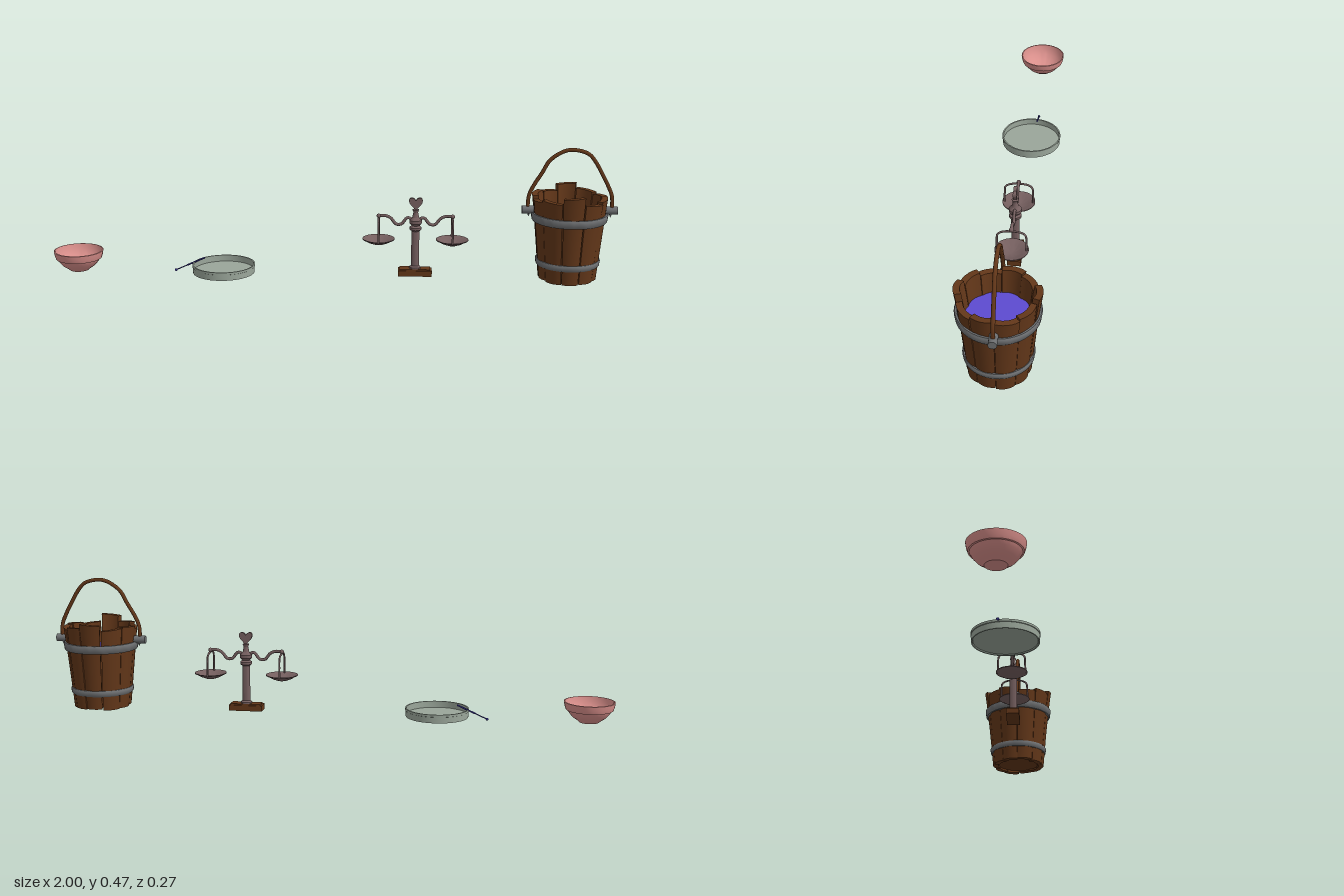
import * as THREE from 'three';
import { toCreasedNormals } from 'three/addons/utils/BufferGeometryUtils.js';

const mat = (name, color, side = THREE.FrontSide) => {
  const m = new THREE.MeshStandardMaterial({ color, side });
  m.name = name;
  return m;
};
const V = (x, y, z = 0) => new THREE.Vector3(x, y, z);

export function createModel() {
  const wood = mat('wood', 0x633719);
  const iron = mat('iron', 0x6c6e70);
  const water = mat('water', 0x5d4bd0);
  const clay = mat('pink clay', 0xd98f8b);
  const glass = mat('green glass', 0x9aa69a);
  const bronze = mat('dull bronze', 0x755f5f);
  const blue = mat('dark blue', 0x34308c);

  const group = (name, x, z = 0) => {
    const g = new THREE.Group();
    g.name = name;
    g.position.set(x, 0, z);
    return g;
  };
  const add = (parent, name, geo, material, x = 0, y = 0, z = 0) => {
    const m = new THREE.Mesh(geo, material);
    m.name = name;
    m.position.set(x, y, z);
    parent.add(m);
    return m;
  };
  const lathe = (pts, seg = 48, crease = 0.6) => toCreasedNormals(
    new THREE.LatheGeometry(pts.map(p => new THREE.Vector2(p[0], p[1])), seg), crease);
  const tube = (pts, r, seg = 32, sides = 8) =>
    new THREE.TubeGeometry(new THREE.CatmullRomCurve3(pts), seg, r, sides);
  const rod = (parent, name, a, b, r, material) => {
    const m = add(parent, name, new THREE.CylinderGeometry(r, r, a.distanceTo(b), 10), material);
    m.position.copy(a).lerp(b, 0.5);
    m.quaternion.setFromUnitVectors(V(0, 1, 0), b.clone().sub(a).normalize());
    return m;
  };

  // Bowl with a raised lip band and a small foot
  const bowl = group('bowl', -0.913);
  add(bowl, 'bowlShell', lathe([
    [0, 0.005], [0.034, 0.005], [0.042, 0.012], [0.058, 0.023], [0.07, 0.037], [0.076, 0.048],
    [0.081, 0.049], [0.085, 0.06], [0.088, 0.077], [0.084, 0.078], [0.08, 0.06],
    [0.07, 0.042], [0.054, 0.026], [0.032, 0.015], [0, 0.011]]), clay);

  // Shallow dish
  const dish = group('dish', -0.387, 0.003);
  add(dish, 'dishShell', lathe([
    [0, 0.01], [0.104, 0.01], [0.106, 0.006], [0.11, 0.006], [0.11, 0.027], [0.112, 0.028],
    [0.112, 0.036], [0.107, 0.036], [0.107, 0.013], [0, 0.013]], 64), glass);

  // Stirring needle leaning on the dish
  const needle = group('needle', 0, -0.013);
  const tip = V(-0.563, 0.005), end = V(-0.458, 0.052);
  const mid = tip.clone().lerp(end, 0.4);
  rod(needle, 'needleShaft', tip, end, 0.002, blue);
  rod(needle, 'needleGrip', mid, end, 0.003, blue);
  add(needle, 'needleTip', new THREE.SphereGeometry(0.005, 10, 8), blue, tip.x, tip.y);

  // Balance scale
  const scale = group('balanceScale', 0.297);
  add(scale, 'scaleBase', new THREE.BoxGeometry(0.12, 0.02, 0.048), wood, 0, 0.016);
  add(scale, 'scaleBaseTop', new THREE.BoxGeometry(0.108, 0.006, 0.04), wood, 0, 0.028);
  add(scale, 'scalePost', lathe([
    [0, 0.03], [0.02, 0.03], [0.02, 0.036], [0.014, 0.042], [0.014, 0.168], [0.021, 0.174],
    [0.021, 0.182], [0.014, 0.188], [0.022, 0.197], [0.022, 0.208], [0.012, 0.218],
    [0.008, 0.236], [0.012, 0.246], [0, 0.25]], 16), bronze);
  const heart = new THREE.Shape();
  heart.moveTo(0, 0);
  heart.bezierCurveTo(0.01, 0.012, 0.024, 0.022, 0.024, 0.034);
  heart.bezierCurveTo(0.024, 0.048, 0.006, 0.048, 0, 0.034);
  heart.bezierCurveTo(-0.006, 0.048, -0.024, 0.048, -0.024, 0.034);
  heart.bezierCurveTo(-0.024, 0.022, -0.01, 0.012, 0, 0);
  add(scale, 'scaleFinial', new THREE.ExtrudeGeometry(heart,
    { depth: 0.012, bevelEnabled: false, curveSegments: 8 }), bronze, 0, 0.244, -0.006);
  const half = [[0.132, 0.222], [0.105, 0.222], [0.088, 0.214], [0.068, 0.192], [0.05, 0.193], [0.028, 0.216]];
  add(scale, 'scaleBeam', tube([
    ...half.map(p => V(-p[0], p[1])), V(0, 0.204), ...half.slice().reverse().map(p => V(p[0], p[1]))],
  0.0055, 64), bronze);
  for (const s of [-1, 1]) {
    const pan = group(s > 0 ? 'leftPan' : 'rightPan', s * 0.13);
    add(pan, 'beamTip', new THREE.SphereGeometry(0.008, 12, 8), bronze, 0, 0.221);
    add(pan, 'panYoke', tube([
      V(0, 0.133, -0.05), V(0, 0.17, -0.049), V(0, 0.2, -0.046), V(0, 0.211, -0.03), V(0, 0.214, 0),
      V(0, 0.211, 0.03), V(0, 0.2, 0.046), V(0, 0.17, 0.049), V(0, 0.133, 0.05)], 0.0035, 40), bronze);
    add(pan, 'panDish', lathe([
      [0, 0.116], [0.018, 0.118], [0.036, 0.125], [0.05, 0.133], [0.057, 0.136], [0.057, 0.139],
      [0.05, 0.137], [0.035, 0.129], [0.018, 0.122], [0, 0.12]], 40), bronze);
    scale.add(pan);
  }

  // Bucket: ten bent staves of uneven height
  const bucket = group('bucket', 0.833);
  const tops = [0.322, 0.294, 0.302, 0.298, 0.304, 0.32, 0.3, 0.305, 0.293, 0.302];
  tops.forEach((top, i) => {
    const geo = new THREE.BoxGeometry(1, 1, 1, 6, 8, 1);
    const p = geo.attributes.position;
    const low = 0.006 + (i % 3) * 0.002;
    const tall = top > 0.31;
    const lean = tall ? 0.006 : (i % 2) * 0.003;
    for (let k = 0; k < p.count; k++) {
      const u = p.getX(k), t = p.getY(k) + 0.5, w = p.getZ(k) + 0.5;
      const y = low + (top - low) * t - (i % 2 ? 1 : -1) * u * 0.006 * t;
      const a = i * Math.PI / 5 + u * (tall ? 0.58 : 0.615);
      const flare = 0.102 + 0.028 * t + lean * t ** 3;
      const r = flare - 0.004 * (2 * u) ** 2 - (1 - w) * 0.021;
      p.setXYZ(k, Math.sin(a) * r, y, Math.cos(a) * r);
    }
    geo.computeVertexNormals();
    add(bucket, 'stave', geo, wood);
  });
  add(bucket, 'bucketFloor', new THREE.CylinderGeometry(0.094, 0.092, 0.012, 40), wood, 0, 0.021);
  add(bucket, 'waterSurface', new THREE.CylinderGeometry(0.112, 0.112, 0.004, 40), water, 0, 0.22);

  // Iron hoops
  const hoop = (y0, y1, r0, r1) => lathe([
    [r0 - 0.014, y0], [r0 - 0.003, y0], [r0, y0 + 0.004], [r1, y1 - 0.004], [r1 - 0.003, y1],
    [r1 - 0.009, y1], [r0 - 0.014, y0]], 48, 0.9);
  add(bucket, 'lowerHoop', hoop(0.057, 0.079, 0.111, 0.113), iron);
  add(bucket, 'upperHoop', hoop(0.216, 0.245, 0.131, 0.134), iron);

  // Handle lugs and the bent wooden handle
  for (const s of [-1, 1]) {
    const lug = add(bucket, 'handleLug', new THREE.CylinderGeometry(0.014, 0.014, 0.042, 14), iron, s * 0.145, 0.252);
    lug.rotation.z = Math.PI / 2;
    const hook = add(bucket, 'lugPoint', new THREE.ConeGeometry(0.011, 0.026, 12), iron, s * 0.142, 0.24);
    hook.rotation.z = Math.PI;
  }
  add(bucket, 'bucketHandle', tube([
    V(-0.146, 0.25), V(-0.143, 0.302), V(-0.128, 0.338), V(-0.1, 0.385), V(-0.078, 0.425), V(-0.05, 0.449),
    V(-0.015, 0.465), V(0.02, 0.465), V(0.058, 0.452), V(0.082, 0.425), V(0.105, 0.385), V(0.13, 0.338),
    V(0.144, 0.302), V(0.146, 0.25)], 0.0068, 64, 10), wood);

  const model = new THREE.Group();
  model.name = 'tableware';
  model.add(bowl, dish, needle, scale, bucket);
  return model;
}
